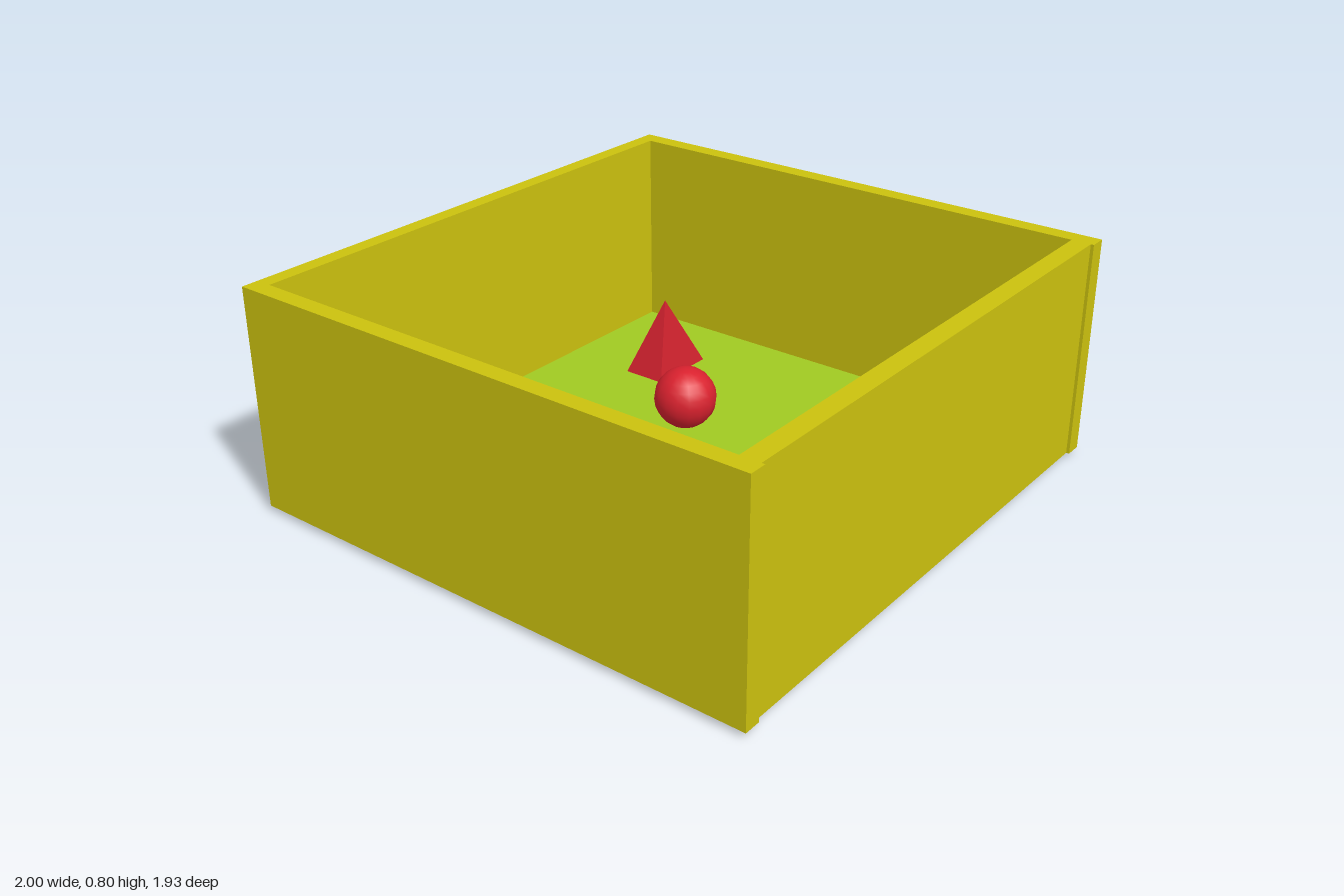
import * as THREE from 'three';

const paint = (name, color, extra = {}) => {
  const m = new THREE.MeshStandardMaterial({ color, ...extra });
  m.name = name;
  return m;
};

// Box given by its minimum and maximum corners
function boxBetween(name, material, [x0, y0, z0], [x1, y1, z1]) {
  const mesh = new THREE.Mesh(new THREE.BoxGeometry(x1 - x0, y1 - y0, z1 - z0), material);
  mesh.position.set((x0 + x1) / 2, (y0 + y1) / 2, (z0 + z1) / 2);
  mesh.name = name;
  return mesh;
}

// Tube along a smooth path whose radius changes from start to end
function taperedTube(name, material, points, r0, r1) {
  const path = new THREE.CatmullRomCurve3(points.map(([x, y]) => new THREE.Vector3(x, y, 0)));
  const rings = 20, sides = 12;
  const geometry = new THREE.TubeGeometry(path, rings, 1, sides);
  const pos = geometry.attributes.position;
  const v = new THREE.Vector3();
  for (let i = 0; i < pos.count; i++) {
    const t = Math.floor(i / (sides + 1)) / rings;
    const centre = path.getPointAt(t);
    const radius = r1 + (r0 - r1) * (1 - t) ** 2;
    v.fromBufferAttribute(pos, i).sub(centre).multiplyScalar(radius).add(centre);
    pos.setXYZ(i, v.x, v.y, v.z);
  }
  geometry.computeVertexNormals();
  const mesh = new THREE.Mesh(geometry, material);
  mesh.name = name;
  return mesh;
}

function lathe(name, material, points) {
  const curve = new THREE.SplineCurve(points.map(([r, y]) => new THREE.Vector2(r, y)));
  const mesh = new THREE.Mesh(new THREE.LatheGeometry(curve.getPoints(points.length * 4), 32), material);
  mesh.name = name;
  return mesh;
}

// Round teapot in its own units, standing on y = 0
function createTeapot(material) {
  const teapot = new THREE.Group();
  teapot.name = 'teapot';
  teapot.add(
    lathe('teapotBody', material, [
      [0, 0], [0.8, 0.02], [1.45, 0.1], [1.75, 0.4], [1.98, 0.85],
      [1.94, 1.3], [1.75, 1.8], [1.52, 2.25], [1.46, 2.43], [1.36, 2.38],
    ]),
    lathe('teapotLid', material, [
      [1.36, 2.38], [1.25, 2.46], [0.85, 2.55], [0.4, 2.63], [0.22, 2.72],
      [0.26, 2.82], [0.39, 2.95], [0.3, 3.1], [0, 3.15],
    ]),
    taperedTube('teapotHandle', material, [
      [-1.5, 2.05], [-2.2, 2.08], [-2.7, 1.98], [-2.83, 1.65], [-2.6, 1.15], [-1.85, 0.72],
    ], 0.18, 0.18),
    taperedTube('teapotSpout', material, [
      [1.5, 0.85], [2.1, 1.15], [2.42, 1.65], [2.7, 2.1], [3.22, 2.4],
    ], 0.62, 0.2),
  );
  return teapot;
}

export function createModel() {
  const model = new THREE.Group();
  model.name = 'playpen';
  const wall = paint('wallYellow', 0xcbc10e);
  const grass = paint('floorGreen', 0xa0ca22);
  const red = paint('ballRed', 0xd9212e);
  const darkRed = paint('pyramidRed', 0xcb202c);
  const pink = paint('teapotPink', 0xd297a8, { side: THREE.DoubleSide });

  // Floor and four walls
  const floorTop = 0.067, bottom = 0.02, top = 0.8;
  model.add(
    boxBetween('floor', grass, [-0.945, 0, -0.924], [0.985, floorTop, 0.926]),
    boxBetween('rightWall', wall, [-1, bottom, -0.908], [-0.94, top, 0.964]),
    boxBetween('leftWall', wall, [0.937, bottom, -0.964], [1, top, 0.964]),
    boxBetween('backWall', wall, [-1, bottom, -0.964], [0.937, top, -0.908]),
    boxBetween('frontWall', wall, [-0.94, bottom, 0.885], [0.937, top, 0.953]),
  );

  // Ball hovering above the floor
  const ball = new THREE.Mesh(new THREE.SphereGeometry(0.106, 16, 12), red);
  ball.name = 'ball';
  ball.position.set(0.037, 0.293, -0.038);
  model.add(ball);

  // Pyramid with a rectangular base
  const height = 0.27;
  const cone = new THREE.ConeGeometry(Math.SQRT1_2, 1, 4, 1).rotateY(Math.PI / 4).toNonIndexed();
  cone.scale(0.262, height, 0.164);
  cone.computeVertexNormals();
  const pyramid = new THREE.Mesh(cone, darkRed);
  pyramid.name = 'pyramid';
  pyramid.position.set(0.565, floorTop + height / 2, -0.543);
  model.add(pyramid);

  // Teapot
  const teapot = createTeapot(pink);
  teapot.scale.setScalar(0.0565);
  teapot.position.set(-0.612, floorTop, -0.404);
  model.add(teapot);

  return model;
}
